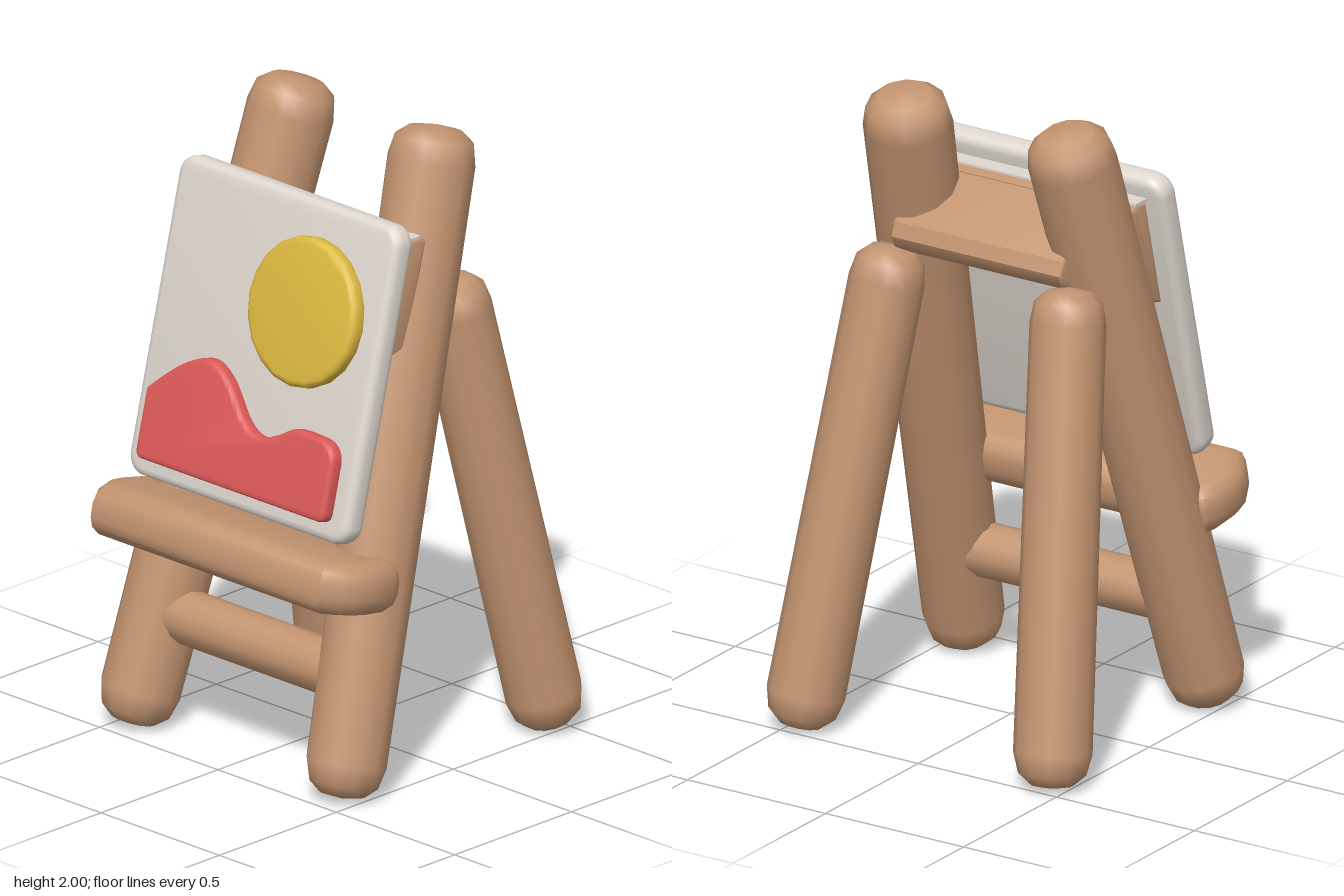
import * as THREE from 'three';
import { toCreasedNormals } from 'three/addons/utils/BufferGeometryUtils.js';

const mat = (name, color) => new THREE.MeshStandardMaterial({ name, color });
const points = (list) => list.map(([x, y]) => new THREE.Vector2(x, y));

export function createModel() {
  const wood = mat('wood', 0xc49571);
  const canvasWhite = mat('canvas white', 0xdfd8d0);
  const yellow = mat('sun yellow', 0xdeb940);
  const red = mat('hill red', 0xdd5a58);

  const model = new THREE.Group();
  model.name = 'easel';

  const add = (parent, name, geometry, material) => {
    const mesh = new THREE.Mesh(geometry, material);
    mesh.name = name;
    parent.add(mesh);
    return mesh;
  };

  // Log with worn, rounded ends running from point a to point b
  const log = (name, a, b, ra, rb, sides = 12) => {
    const from = new THREE.Vector3(...a), to = new THREE.Vector3(...b);
    const axis = to.clone().sub(from), len = axis.length();
    const profile = points([
      [0, 0], [ra * 0.55, 0.012], [ra * 0.86, 0.045], [ra, 0.11],
      [rb, len - 0.11], [rb * 0.9, len - 0.045], [rb * 0.6, len - 0.012], [0, len],
    ]);
    const mesh = add(model, name, new THREE.LatheGeometry(profile, sides), wood);
    mesh.position.copy(from);
    mesh.quaternion.setFromUnitVectors(new THREE.Vector3(0, 1, 0), axis.normalize());
  };

  // Plate with softened edges, its back at z = 0
  const plate = (shape, depth, bevel) => {
    const geo = new THREE.ExtrudeGeometry(shape, {
      depth: depth - 2 * bevel, bevelEnabled: true, bevelSize: bevel, bevelThickness: bevel,
      bevelOffset: -bevel, bevelSegments: 3, curveSegments: 10,
    });
    geo.translate(0, 0, bevel);
    return toCreasedNormals(geo, 0.7);
  };

  const roundedRect = (w, h, r) => {
    const s = new THREE.Shape(), x = w / 2, y = h / 2;
    s.absarc(x - r, y - r, r, 0, Math.PI / 2);
    s.absarc(-x + r, y - r, r, Math.PI / 2, Math.PI);
    s.absarc(-x + r, -y + r, r, Math.PI, Math.PI * 1.5);
    s.absarc(x - r, -y + r, r, Math.PI * 1.5, Math.PI * 2);
    s.closePath();
    return s;
  };

  // Front posts lean back, rear legs splay behind them
  for (const [side, s] of [['left', 1], ['right', -1]]) {
    log(side + 'FrontPost', [s * 0.443, 0.012, 0.42], [s * 0.29, 1.99, -0.142], 0.125, 0.137);
    log(side + 'RearLeg', [s * 0.457, 0.01, -0.462], [s * 0.318, 1.5, -0.16], 0.12, 0.116);
  }

  // Lower rail
  const rail = add(model, 'lowerRail', new THREE.CylinderGeometry(0.085, 0.085, 0.76, 12), wood);
  rail.rotation.z = Math.PI / 2;
  rail.position.set(0, 0.365, 0.32);

  // Upper crossbar: wide front panel and narrower rear bar; sections drawn as (-z, y)
  const crossPart = (name, section, width) => {
    const geo = plate(new THREE.Shape(points(section)), width, 0.012);
    geo.rotateY(Math.PI / 2);
    geo.translate(-width / 2, 0, 0);
    add(model, name, geo, wood);
  };
  crossPart('crossbarPanel', [[-0.19, 1.36], [-0.11, 1.38], [-0.03, 1.7], [-0.055, 1.712], [-0.105, 1.712]], 0.84);
  crossPart('crossbarRear', [
    [-0.13, 1.4], [0, 1.43], [0.14, 1.48], [0.18, 1.505], [0.195, 1.54], [0.18, 1.585], [-0.055, 1.71],
  ], 0.62);

  // Pale strip on top of the crossbar
  const strip = add(model, 'crossbarStrip', new THREE.BoxGeometry(0.83, 0.009, 0.06), canvasWhite);
  strip.position.set(0, 1.714, 0.085);

  // Tray: narrower along its front edge, with rounded sides
  const half = [[0.48, -0.155], [0.52, -0.105], [0.548, -0.05], [0.558, 0.01], [0.548, 0.1], [0.53, 0.14], [0.5, 0.155]];
  const mirrored = half.map(([x, y]) => [-x, y]).reverse();
  const trayGeo = plate(new THREE.Shape(points([...half, ...mirrored])), 0.165, 0.06);
  trayGeo.translate(0, 0, -0.0825);
  trayGeo.rotateX(-Math.PI / 2);
  const tray = add(model, 'tray', trayGeo, wood);
  tray.position.set(0, 0.698, 0.402);
  tray.rotation.x = -0.19;

  // Canvas and its raised picture share one tilt
  const board = new THREE.Group();
  board.name = 'painting';
  board.position.set(0, 1.298, 0.273);
  board.rotation.x = -0.243;
  model.add(board);

  const canvas = add(board, 'canvas', plate(roundedRect(0.93, 0.995, 0.065), 0.08, 0.026), canvasWhite);
  canvas.position.z = -0.04;

  const disc = new THREE.Shape();
  disc.absellipse(0, 0, 0.225, 0.231, 0, Math.PI * 2);
  const sun = add(board, 'sun', plate(disc, 0.06, 0.02), yellow);
  sun.position.set(0.165, 0.162, 0.026);

  const hill = new THREE.Shape();
  hill.moveTo(-0.37, -0.437);
  hill.lineTo(0.365, -0.437);
  hill.quadraticCurveTo(0.397, -0.437, 0.397, -0.405);
  hill.lineTo(0.397, -0.25);
  hill.quadraticCurveTo(0.39, -0.19, 0.32, -0.186);
  hill.splineThru(points([[0.22, -0.188], [0.15, -0.225], [0.08, -0.248], [0.01, -0.215], [-0.08, -0.115],
    [-0.165, -0.072], [-0.26, -0.105], [-0.34, -0.165], [-0.4, -0.22]]));
  hill.lineTo(-0.4, -0.405);
  hill.quadraticCurveTo(-0.4, -0.437, -0.37, -0.437);
  const hills = add(board, 'hills', plate(hill, 0.055, 0.016), red);
  hills.position.z = 0.028;

  return model;
}
